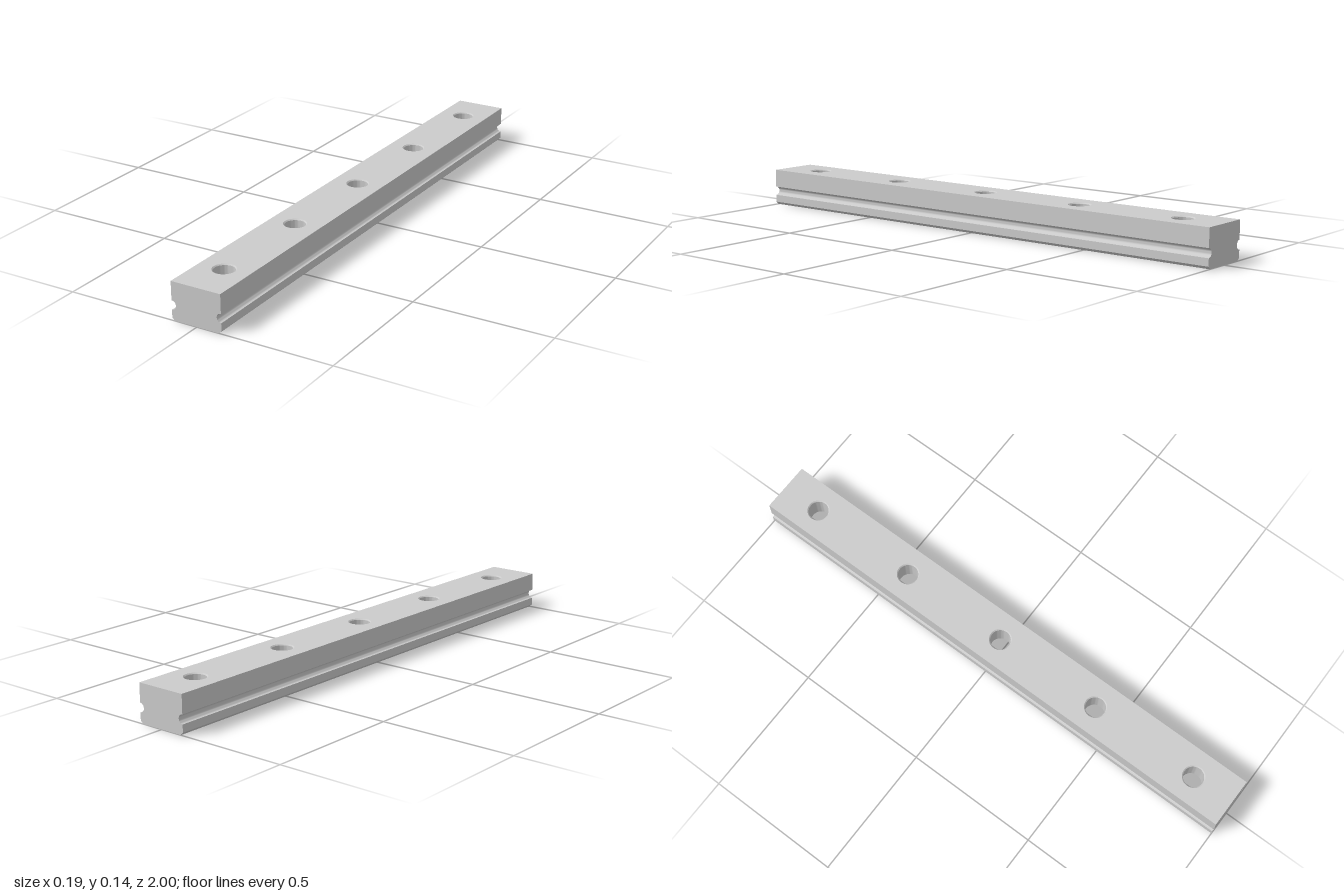
import * as THREE from 'three';
import { toCreasedNormals } from 'three/addons/utils/BufferGeometryUtils.js';

const W = 0.0945, H = 0.138, L = 1;            // half width, height, half length
const CHAMFER = 0.01;
const GROOVE_Y = 0.054, GROOVE_R = 0.0165;
const HOLE_R = 0.037, HOLE_RIM = 0.041, BORE_R = 0.0625, BORE_DEPTH = 0.05;
const HOLES = [-2, -1, 0, 1, 2].map(i => i * 0.421);

// right-hand edge of the cross-section, bottom to top, with the ball groove
function flankPoints() {
  const pts = [new THREE.Vector2(W - CHAMFER, 0), new THREE.Vector2(W, CHAMFER)];
  const n = 16;
  for (let i = 0; i <= n; i++) {
    const a = -Math.PI / 2 - Math.PI * i / n;
    pts.push(new THREE.Vector2(W + GROOVE_R * Math.cos(a), GROOVE_Y + GROOVE_R * Math.sin(a)));
  }
  pts.push(new THREE.Vector2(W, H));
  return pts;
}

// sweep the edge along the length
function flankGeometry(pts) {
  const pos = [];
  for (let i = 0; i < pts.length - 1; i++) {
    const p = pts[i], q = pts[i + 1];
    pos.push(p.x, p.y, L, p.x, p.y, -L, q.x, q.y, -L);
    pos.push(p.x, p.y, L, q.x, q.y, -L, q.x, q.y, L);
  }
  const g = new THREE.BufferGeometry();
  g.setAttribute('position', new THREE.Float32BufferAttribute(pos, 3));
  return toCreasedNormals(g, 0.5);
}

// flat face pierced by the row of holes
function piercedFace(halfWidth, radius) {
  const s = new THREE.Shape([
    new THREE.Vector2(-halfWidth, -L), new THREE.Vector2(halfWidth, -L),
    new THREE.Vector2(halfWidth, L), new THREE.Vector2(-halfWidth, L)]);
  for (const z of HOLES) s.holes.push(new THREE.Path().absarc(0, z, radius, 0, Math.PI * 2, true));
  return new THREE.ShapeGeometry(s, 24);
}

export function createModel() {
  const group = new THREE.Group();
  group.name = 'guideRail';
  const material = new THREE.MeshStandardMaterial({ color: 0xcccccc });
  const add = (name, geometry) => {
    const mesh = new THREE.Mesh(geometry, material);
    mesh.name = name;
    group.add(mesh);
    return mesh;
  };

  // grooved sides
  const edge = flankPoints();
  const flank = flankGeometry(edge);
  add('leftSide', flank);
  add('rightSide', flank).rotation.y = Math.PI;

  // end faces
  const mirrored = edge.map(p => new THREE.Vector2(-p.x, p.y)).reverse();
  const end = new THREE.ShapeGeometry(new THREE.Shape([...edge, ...mirrored]));
  end.translate(0, 0, L);
  add('frontEnd', end);
  add('backEnd', end).rotation.y = Math.PI;

  // top and bottom faces
  add('topFace', piercedFace(W, HOLE_RIM).rotateX(-Math.PI / 2).translate(0, H, 0));
  add('bottomFace', piercedFace(W - CHAMFER, BORE_R).rotateX(Math.PI / 2));

  // screw holes: chamfered rim on top, wide counterbore below
  const profile = [[HOLE_RIM, H], [HOLE_R, H - 0.004], [HOLE_R, BORE_DEPTH], [BORE_R, BORE_DEPTH], [BORE_R, 0]]
    .map(([x, y]) => new THREE.Vector2(x, y));
  const hole = toCreasedNormals(new THREE.LatheGeometry(profile, 48), 0.5);
  HOLES.forEach((z, i) => { add('screwHole' + (i + 1), hole).position.z = z; });

  return group;
}
